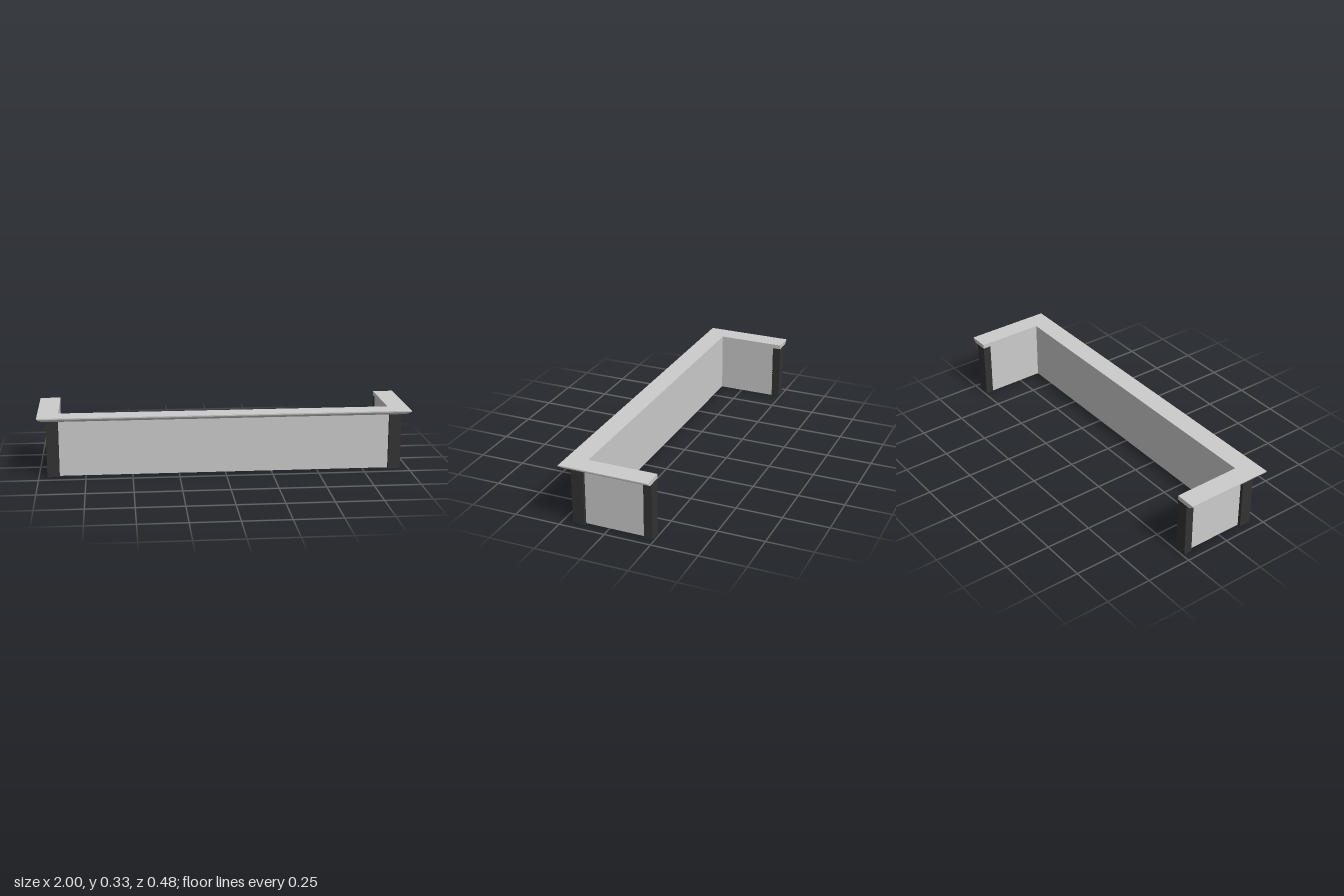
import * as THREE from 'three';

const INNER_X = 0.89, INNER_Z = 0.13, BACK_Z = -0.241, TOP = 0.309;

// Sweeps a counter-clockwise profile of [outward offset, height] round the
// U-shaped plan with mitred corners and capped ends.
function sweepU(profile, backZ) {
  const stations = [
    d => [-INNER_X - d, backZ],
    d => [-INNER_X - d, INNER_Z + d],
    d => [INNER_X + d, INNER_Z + d],
    d => [INNER_X + d, backZ],
  ];
  const rings = stations.map(f => profile.map(([d, y]) => {
    const [x, z] = f(d);
    return [x, y, z];
  }));
  const pos = [];
  const tri = (a, b, c) => pos.push(...a, ...b, ...c);
  for (let s = 0; s < 3; s++) {
    const A = rings[s], B = rings[s + 1];
    profile.forEach((_, i) => {
      const j = (i + 1) % profile.length;
      tri(A[i], B[i], B[j]);
      tri(A[i], B[j], A[j]);
    });
  }
  const contour = profile.map(([d, y]) => new THREE.Vector2(d, y));
  for (const [a, b, c] of THREE.ShapeUtils.triangulateShape(contour, [])) {
    tri(rings[0][a], rings[0][b], rings[0][c]);
    tri(rings[3][a], rings[3][c], rings[3][b]);
  }
  const geo = new THREE.BufferGeometry();
  geo.setAttribute('position', new THREE.Float32BufferAttribute(pos, 3));
  geo.computeVertexNormals();
  return geo;
}

export function createModel() {
  const group = new THREE.Group();
  const grey = new THREE.MeshStandardMaterial({ color: 0xcccccc });
  const dark = new THREE.MeshStandardMaterial({ color: 0x333333 });
  const add = (name, geo, mat) => {
    const mesh = new THREE.Mesh(geo, mat);
    mesh.name = name;
    group.add(mesh);
    return mesh;
  };

  // Three-sided counter wall, flush with the inner edge of the top
  add('counterWall', sweepU([[0, 0.001], [0.048, 0.001], [0.048, TOP], [0, TOP]], -0.196), grey);

  // Counter top with a stepped moulding along its outer edge
  add('counterTop', sweepU([
    [0, TOP], [0.086, TOP], [0.093, 0.315], [0.096, 0.315], [0.101, 0.321],
    [0.104, 0.321], [0.107, 0.327], [0.111, 0.327], [0.111, 0.333], [0, 0.333],
  ], BACK_Z), grey);

  // Dark posts at the front corners and the rear ends
  for (const side of [-1, 1]) {
    for (const [name, z0, z1] of [['frontPost', 0.13, 0.196], ['rearPost', -0.24, -0.195]]) {
      const post = add(name, new THREE.BoxGeometry(0.065, TOP, z1 - z0), dark);
      post.position.set(side * (INNER_X + 0.0325), TOP / 2, (z0 + z1) / 2);
    }
  }
  return group;
}
